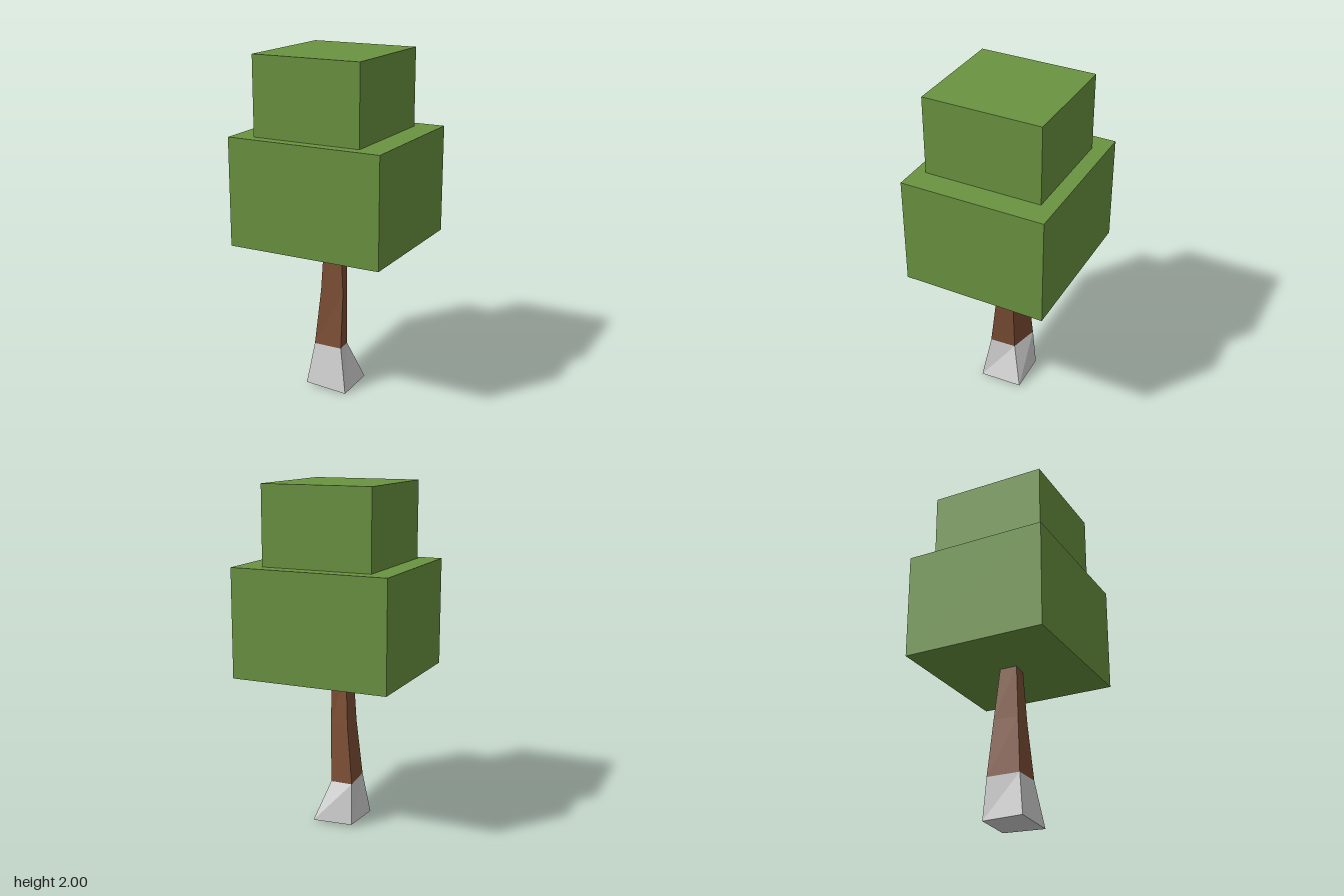
import * as THREE from 'three';

// Skin a stack of four-cornered rings; corners run front-left, back-left, back-right, front-right
function loft(rings, capBottom, capTop) {
  const pos = [];
  const quad = (a, b, c, d) => pos.push(...a, ...b, ...c, ...a, ...c, ...d);
  for (let k = 0; k < rings.length - 1; k++) {
    const lo = rings[k], up = rings[k + 1];
    for (let i = 0; i < 4; i++) {
      const j = (i + 1) % 4;
      quad(lo[i], lo[j], up[j], up[i]);
    }
  }
  const first = rings[0], last = rings[rings.length - 1];
  if (capBottom) quad(first[3], first[2], first[1], first[0]);
  if (capTop) quad(last[0], last[1], last[2], last[3]);
  const geometry = new THREE.BufferGeometry();
  geometry.setAttribute('position', new THREE.Float32BufferAttribute(pos, 3));
  geometry.computeVertexNormals(); // unshared vertices give flat facets
  return geometry;
}

export function createModel() {
  const leafGreen = new THREE.MeshStandardMaterial({ color: 0x6a9340 });
  leafGreen.name = 'leafGreen';
  const barkBrown = new THREE.MeshStandardMaterial({ color: 0x7d4f35 });
  barkBrown.name = 'barkBrown';
  const paintWhite = new THREE.MeshStandardMaterial({ color: 0xd3d3d3 });
  paintWhite.name = 'paintWhite';

  const tree = new THREE.Group();
  tree.name = 'tree';
  const add = (name, geometry, material) => {
    const mesh = new THREE.Mesh(geometry, material);
    mesh.name = name;
    tree.add(mesh);
    return mesh;
  };

  // Uneven trunk cross-sections, from the ground up
  const ground = [[0.12, 0, 0.145], [0.117, 0.008, -0.115], [-0.127, 0.015, -0.11], [-0.143, 0.015, 0.14]];
  const paintLine = [[0.07, 0.265, 0.105], [0.035, 0.24, -0.04], [-0.12, 0.26, -0.09], [-0.105, 0.265, 0.105]];
  const middle = [[0.065, 0.6, 0.068], [0.04, 0.6, -0.03], [-0.083, 0.6, -0.07], [-0.075, 0.6, 0.08]];
  const crown = [[0.04, 0.93, 0.053], [0.037, 0.93, -0.03], [-0.06, 0.93, -0.04], [-0.06, 0.93, 0.063]];

  add('paintedTrunkBase', loft([ground, paintLine], true, false), paintWhite);
  add('trunk', loft([paintLine, middle, crown], false, true), barkBrown);

  // Foliage blocks, the upper one slightly off centre
  add('lowerFoliage', new THREE.BoxGeometry(0.93, 0.63, 0.845), leafGreen)
    .position.set(0, 1.23, 0);
  add('upperFoliage', new THREE.BoxGeometry(0.653, 0.465, 0.692), leafGreen)
    .position.set(-0.011, 1.7675, 0.012);

  return tree;
}
